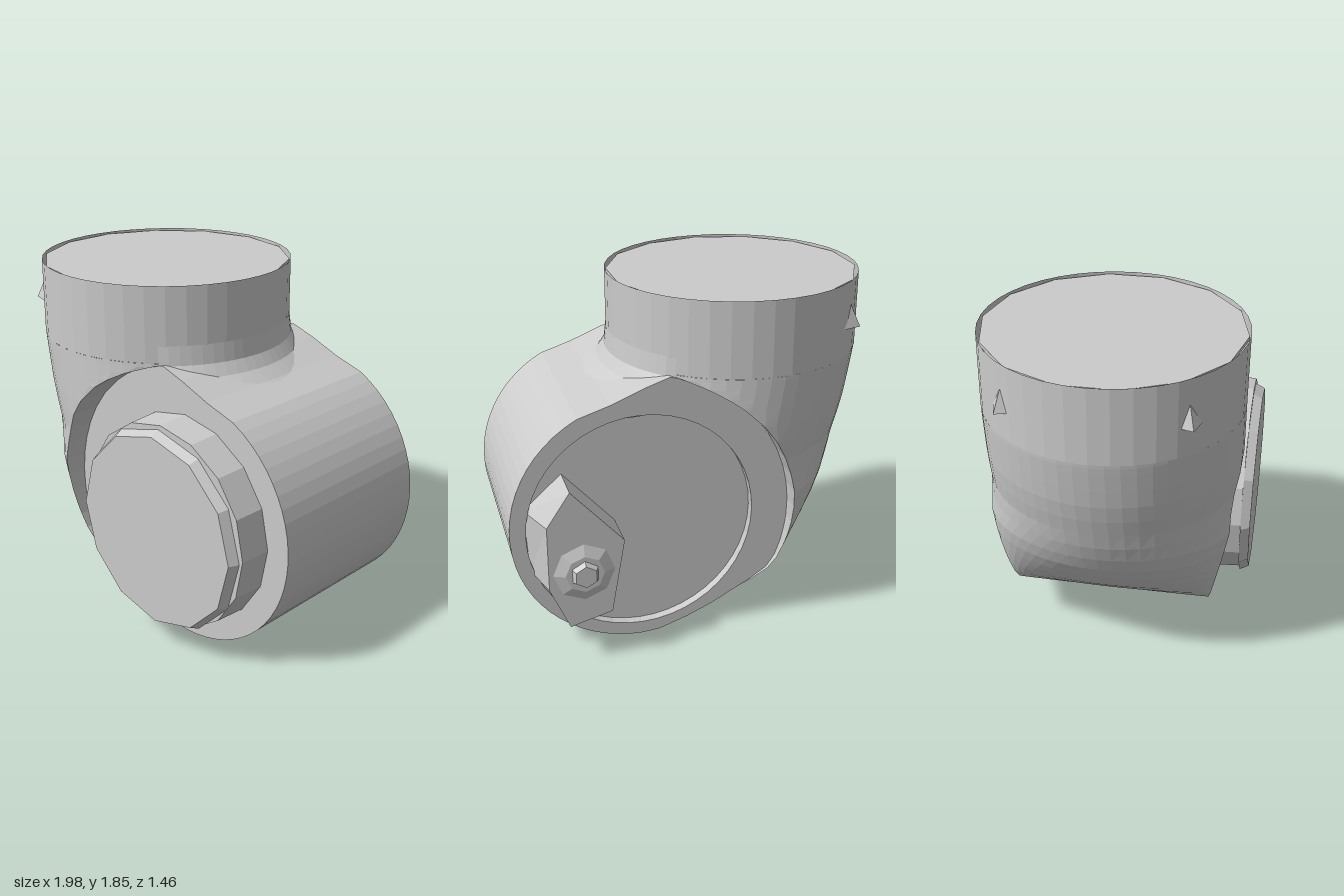
import * as THREE from 'three';

const grey = new THREE.MeshStandardMaterial({ color: 0xcccccc, flatShading: true, side: THREE.DoubleSide });
const CX = 0.3, CY = 0.67, SEAM_R = 0.8; // seam circle
const DRUM_R = 0.682, DRUM_Y = 0.683;
const PIPE_X = -0.33, PIPE_R = 0.668, SEAM_TOP = 1.46, TOP = 1.855;

function add(group, name, geometry, x = 0, y = 0, z = 0) {
  const mesh = new THREE.Mesh(geometry, grey);
  mesh.name = name;
  mesh.position.set(x, y, z);
  group.add(mesh);
  return mesh;
}

// Disc with its axis along z
function disc(group, name, rFront, rBack, depth, sides, x, y, z) {
  add(group, name, new THREE.CylinderGeometry(rFront, rBack, depth, sides).rotateX(Math.PI / 2), x, y, z);
}

function extrude(shape, depth) {
  return new THREE.ExtrudeGeometry(shape, { depth, bevelEnabled: false, curveSegments: 24 });
}

// Outer edge of the elbow as [y, x]
const outer = [
  [1.46, -0.996], [1.44, -0.994], [1.4, -0.988], [1.35, -0.98], [1.3, -0.972], [1.2, -0.955],
  [1.1, -0.93], [1, -0.9], [0.9, -0.87], [0.8, -0.83], [0.7, -0.78], [0.6, -0.71], [0.52, -0.645],
  [0.45, -0.58], [0.37, -0.49], [0.3, -0.4], [0.24, -0.31], [0.18, -0.2], [0.12, -0.09], [0.06, 0.05], [0.01, 0.2],
];

// Elbow shell: round slices, cut open along the seam circle
function elbowGeometry() {
  const N = 56, pos = [], idx = [];
  outer.forEach(([y, xL], i) => {
    const xR = Math.max(xL + 0.005, CX - Math.sqrt(SEAM_R ** 2 - (y - CY) ** 2));
    const a = Math.min(PIPE_R, 1.5 * (xR - xL));
    const zr = 0.5 + 0.168 * Math.min(1, y / 0.8);
    const tMax = Math.acos(Math.max(-1, 1 - (xR - xL) / a));
    for (let j = 0; j <= N; j++) {
      const t = THREE.MathUtils.clamp(Math.PI * (2 * j / N - 1), -tMax, tMax);
      pos.push(xL + a * (1 - Math.cos(t)), y, zr * Math.sin(t));
      if (i === outer.length - 1) continue;
      const p = i * (N + 1) + j, q = i * (N + 1) + (j + 1) % (N + 1);
      idx.push(p, p + N + 1, q, q, p + N + 1, q + N + 1);
    }
  });
  const g = new THREE.BufferGeometry();
  g.setAttribute('position', new THREE.Float32BufferAttribute(pos, 3));
  g.setIndex(idx);
  g.computeVertexNormals();
  return g;
}

// Side outline of the drum, following the seam circle on the elbow side
function drumShape() {
  const pts = [];
  const arc = (r, y, from, sweep, n) => {
    for (let i = 0; i <= n; i++) {
      const a = THREE.MathUtils.degToRad(from + i * sweep / n);
      pts.push(new THREE.Vector2(CX + r * Math.cos(a), y + r * Math.sin(a)));
    }
  };
  arc(DRUM_R, DRUM_Y, -90, 152, 26); // free round end
  pts.push(new THREE.Vector2(0.45, 1.34), new THREE.Vector2(0.28, 1.41)); // shoulder
  arc(SEAM_R, CY, 101, 103, 20);
  for (const [y, x] of outer.slice(-6)) pts.push(new THREE.Vector2(x + 0.005, y)); // underside
  return new THREE.Shape(pts);
}

export function createModel() {
  const group = new THREE.Group();
  group.name = 'elbowJoint';

  // Upright pipe, open rim with a slightly sunk cap
  add(group, 'pipe', new THREE.CylinderGeometry(PIPE_R, PIPE_R, TOP - SEAM_TOP, 40, 1, true), PIPE_X, (TOP + SEAM_TOP) / 2, 0);
  add(group, 'topCap', new THREE.CylinderGeometry(0.66, 0.66, 0.02, 14), PIPE_X, 1.835, 0);
  add(group, 'seamLedge', new THREE.CylinderGeometry(PIPE_R, PIPE_R, 0.01, 40), PIPE_X, SEAM_TOP + 0.005, 0);
  add(group, 'elbowShell', elbowGeometry());

  // Flared fillet where the upright pipe runs into the drum
  const profile = [[0.96, 1.26], [0.87, 1.3], [0.79, 1.34], [0.72, 1.39], [0.68, 1.45], [0.668, 1.55]];
  const flare = new THREE.LatheGeometry(profile.map(p => new THREE.Vector2(...p)), 20, 0.72, Math.PI - 1.44);
  const fp = flare.attributes.position;
  for (let i = 0; i < fp.count; i++) fp.setZ(i, THREE.MathUtils.clamp(fp.getZ(i), -0.5, 0.5));
  add(group, 'neckFillet', flare, PIPE_X, 0, 0);

  // Drum with a raised rim round its back face
  add(group, 'drum', extrude(drumShape(), 0.96), 0, 0, -0.46);
  const rim = drumShape();
  rim.holes.push(new THREE.Path().absarc(CX, CY, 0.6, 0, Math.PI * 2, true));
  add(group, 'backRim', extrude(rim, 0.05), 0, 0, -0.51);

  // Front cover plate on its stepped base
  disc(group, 'frontCoverBase', 0.545, 0.555, 0.18, 16, CX, 0.685, 0.58);
  disc(group, 'frontCover', 0.515, 0.54, 0.05, 12, 0.285, 0.665, 0.695);

  // Faceted knob on the back, its outer side sloping in towards the top
  const outline = [[0.5, 0.28], [0.72, 0.22], [0.88, 0.45], [0.9, 0.8], [0.7, 0.98], [0.43, 0.68]];
  const knob = extrude(new THREE.Shape(outline.map(p => new THREE.Vector2(...p))), 0.22);
  const kp = knob.attributes.position;
  for (let i = 0; i < kp.count; i++) if (kp.getZ(i) < 0.1) kp.setX(i, Math.min(kp.getX(i), 0.82));
  add(group, 'backKnob', knob, 0, 0, -0.68);
  disc(group, 'studCollar', 0.17, 0.1, 0.03, 8, 0.64, 0.53, -0.69);
  disc(group, 'backStud', 0.08, 0.06, 0.04, 6, 0.64, 0.53, -0.715);

  // Small pointed lugs near the top of the pipe
  for (const s of [-1, 1]) {
    const lug = add(group, 'pipeLug', new THREE.ConeGeometry(0.075, 0.16, 4), -0.81, 1.69, s * 0.43);
    lug.rotation.y = s * 0.5;
  }
  return group;
}
